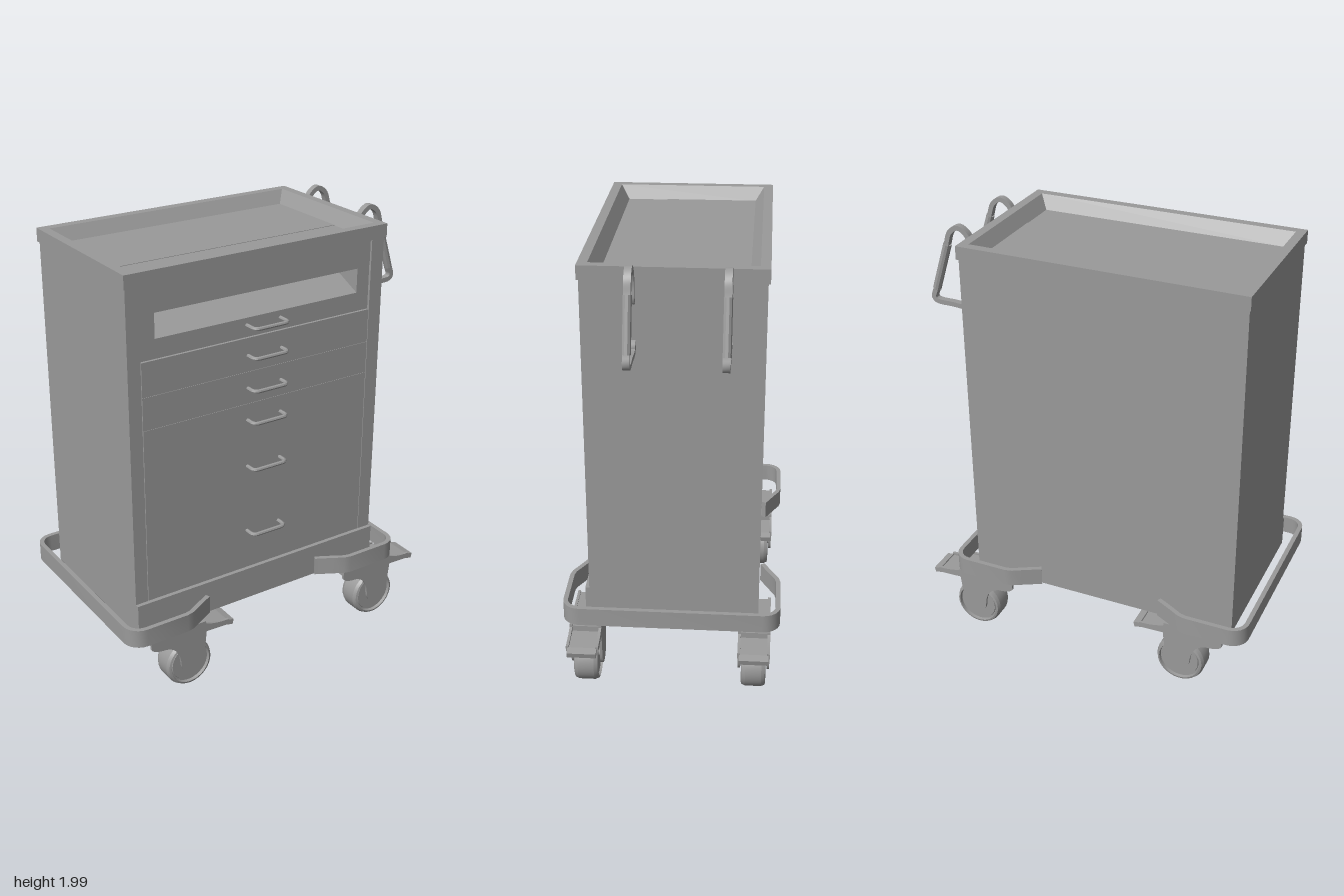
import * as THREE from 'three';
import { toCreasedNormals } from 'three/addons/utils/BufferGeometryUtils.js';

const mat = new THREE.MeshStandardMaterial({ color: 0x9a9a9a });
const MID = -0.077; // cabinet centre in x

function mesh(name, geometry, parent) {
  const m = new THREE.Mesh(geometry, mat);
  m.name = name;
  parent.add(m);
  return m;
}

// Box given by its limits on each axis
function box(name, parent, x0, x1, y0, y1, z0, z1) {
  const m = mesh(name, new THREE.BoxGeometry(x1 - x0, y1 - y0, z1 - z0), parent);
  m.position.set((x0 + x1) / 2, (y0 + y1) / 2, (z0 + z1) / 2);
  return m;
}

const vectors = list => list.map(p => new THREE.Vector2(...p));
const rect = (x0, x1, y0, y1, Type = THREE.Shape) => new Type(vectors([[x0, y0], [x1, y0], [x1, y1], [x0, y1]]));

function slab(shape, z0, z1) {
  return new THREE.ExtrudeGeometry(shape, { depth: z1 - z0, bevelEnabled: false, curveSegments: 10 }).translate(0, 0, z0);
}

function frame(outer, hole, z0, z1) {
  const s = rect(...outer);
  s.holes.push(rect(...hole, THREE.Path));
  return slab(s, z0, z1);
}

// Flat bar following a 2D path, with the given thickness and depth
function bar(path, thickness, z0, z1) {
  const side = d => path.map((q, i) => {
    const t = path[Math.min(i + 1, path.length - 1)].clone().sub(path[Math.max(i - 1, 0)]).normalize();
    return new THREE.Vector2(q.x - t.y * d, q.y + t.x * d);
  });
  const outline = new THREE.Shape([...side(thickness / 2), ...side(-thickness / 2).reverse()]);
  return toCreasedNormals(slab(outline, z0, z1), 0.5);
}

// U-shaped drawer pull with rounded corners
function handle(x0, x1, y, z0, z1) {
  const r = 0.025;
  const v = (x, z) => new THREE.Vector3(x, y, z);
  const path = new THREE.CurvePath();
  path.add(new THREE.LineCurve3(v(x0, z0), v(x0, z1 - r)));
  path.add(new THREE.QuadraticBezierCurve3(v(x0, z1 - r), v(x0, z1), v(x0 + r, z1)));
  path.add(new THREE.LineCurve3(v(x0 + r, z1), v(x1 - r, z1)));
  path.add(new THREE.QuadraticBezierCurve3(v(x1 - r, z1), v(x1, z1), v(x1, z1 - r)));
  path.add(new THREE.LineCurve3(v(x1, z1 - r), v(x1, z0)));
  return toCreasedNormals(new THREE.TubeGeometry(path, 50, 0.009, 8), 0.6);
}

function cabinet() {
  const g = new THREE.Group();
  g.name = 'cabinet';
  const L = -0.72, R = 0.565;
  box('carcass', g, L, R, 0.32, 1.912, -0.385, 0.11);
  // Front layer with the display window and its sloping floor
  mesh('windowFront', frame([L, R, 0.32, 1.91], [-0.585, 0.435, 1.675, 1.785], 0.11, 0.356), g);
  const wedge = new THREE.Shape(vectors([[0, 0], [0.246, 0], [0, 0.11]]));
  const slope = mesh('windowSlope', slab(wedge, 0, 1.02), g);
  slope.rotation.y = -Math.PI / 2;
  slope.position.set(0.435, 1.675, 0.11);
  mesh('frontFrame', frame([L, R, 0.32, 1.91], [-0.66, 0.5, 0.473, 1.905], 0.356, 0.368), g);
  box('topPanel', g, -0.66, 0.5, 1.793, 1.905, 0.35, 0.358);
  box('plinth', g, L, R, 0.32, 0.473, 0.36, 0.386);

  // Flush drawer fronts with hairline seams
  const edges = [0.473, 1.288, 1.436, 1.59];
  for (let i = 0; i < edges.length - 1; i++)
    box('drawerFront', g, -0.657, 0.497, edges[i] + 0.0006, edges[i + 1] - 0.0006, 0.34, 0.368);
  for (const y of [0.664, 0.988, 1.21, 1.36, 1.509, 1.642])
    mesh('drawerHandle', handle(-0.143, 0.028, y, 0.35, 0.421), g);

  // Tray rim: the lower edge of its opening is drawn inward to slope the walls
  const rim = frame([-0.65, 0.65, -0.385, 0.385], [-0.608, 0.608, -0.343, 0.343], 0, 0.06);
  const p = rim.attributes.position;
  for (let i = 0; i < p.count; i++)
    if (p.getZ(i) < 0.01 && Math.abs(p.getX(i)) < 0.63)
      p.setXY(i, p.getX(i) - 0.04 * Math.sign(p.getX(i)), p.getY(i) - 0.04 * Math.sign(p.getY(i)));
  rim.computeVertexNormals();
  rim.rotateX(-Math.PI / 2);
  mesh('trayRim', rim, g).position.set(MID, 1.91, -0.009);
  return g;
}

// Upright band wrapped around one end of the base
function bumper() {
  const half = [[0.297, 0.4], [0.37, 0.438], [0.42, 0.466], [0.45, 0.473], [0.652, 0.473]];
  for (let i = 1; i <= 6; i++) {
    const a = (i / 6) * Math.PI / 2;
    half.push([0.652 + 0.068 * Math.sin(a), 0.405 + 0.068 * Math.cos(a)]);
  }
  const path = vectors([...half, ...half.map(([x, y]) => [x, -y]).reverse()]);
  return bar(path, 0.021, 0, 0.085).rotateX(-Math.PI / 2);
}

// Caster with its wheel axle at x = 0, y = 0.12
function caster() {
  const g = new THREE.Group();
  g.name = 'caster';
  const half = [[0, 0.046], [0.088, 0.046], [0.09, 0.04], [0.097, 0.04], [0.099, 0.055], [0.108, 0.052], [0.115, 0.036]];
  const profile = vectors([...half.map(([r, y]) => [r, -y]), ...half.slice().reverse()]);
  const wheel = new THREE.LatheGeometry(profile, 32).rotateX(Math.PI / 2);
  mesh('wheel', toCreasedNormals(wheel, 0.4), g).position.y = 0.12;
  const axle = mesh('axle', new THREE.CylinderGeometry(0.018, 0.018, 0.138, 16).rotateX(Math.PI / 2), g);
  axle.position.y = 0.13;

  // Curved cheeks on both sides of the wheel
  const s = new THREE.Shape();
  s.moveTo(-0.205, 0.325);
  s.lineTo(-0.205, 0.275);
  s.quadraticCurveTo(-0.19, 0.252, -0.13, 0.25);
  s.quadraticCurveTo(-0.06, 0.235, -0.055, 0.14);
  s.quadraticCurveTo(-0.05, 0.09, 0.005, 0.09);
  s.quadraticCurveTo(0.06, 0.095, 0.065, 0.16);
  s.lineTo(0.078, 0.27);
  s.lineTo(0.075, 0.325);
  for (const z of [-0.071, 0.059]) mesh('forkCheek', toCreasedNormals(slab(s, z, z + 0.012), 0.5), g);
  box('forkTop', g, -0.2, 0.075, 0.285, 0.318, -0.06, 0.06);
  box('mountPlate', g, -0.14, 0, 0.315, 0.336, -0.055, 0.055);

  // Brake pedal: arched arm ending in a drooping foot plate
  const arm = new THREE.Shape();
  arm.moveTo(0.05, 0.325);
  arm.quadraticCurveTo(0.1, 0.292, 0.195, 0.292);
  arm.lineTo(0.195, 0.266);
  arm.quadraticCurveTo(0.1, 0.268, 0.05, 0.272);
  for (const z of [-0.071, 0.059]) mesh('pedalSide', toCreasedNormals(slab(arm, z, z + 0.012), 0.5), g);
  box('pedalPlate', g, 0.06, 0.2, 0.274, 0.286, -0.06, 0.06).rotation.z = -0.1;
  box('pedalTip', g, 0.188, 0.224, 0.256, 0.281, -0.064, 0.064).rotation.z = -0.25;
  return g;
}

// Side bracket: bent flat bar with a thicker grip
function hook() {
  const g = new THREE.Group();
  g.name = 'sideHook';
  const points = [[0.558, 1.828], [0.58, 1.828], [0.588, 1.84], [0.587, 1.9], [0.603, 1.957], [0.646, 1.986],
    [0.686, 1.962], [0.708, 1.9], [0.743, 1.79], [0.778, 1.68], [0.789, 1.644], [0.779, 1.628], [0.69, 1.622],
    [0.6, 1.617], [0.581, 1.622], [0.576, 1.641], [0.558, 1.65]];
  const curve = new THREE.CatmullRomCurve3(points.map(([x, y]) => new THREE.Vector3(x, y, 0)), false, 'centripetal');
  const path = curve.getSpacedPoints(90).map(v => new THREE.Vector2(v.x, v.y));
  mesh('hookBar', bar(path, 0.022, -0.015, 0.015), g);
  const a = new THREE.Vector3(0.708, 1.9, 0), b = new THREE.Vector3(0.778, 1.68, 0);
  const grip = mesh('hookGrip', toCreasedNormals(new THREE.CylinderGeometry(0.019, 0.019, a.distanceTo(b), 10), 0.5), g);
  grip.position.copy(a).add(b).multiplyScalar(0.5);
  grip.quaternion.setFromUnitVectors(new THREE.Vector3(0, 1, 0), a.clone().sub(b).normalize());
  return g;
}

export function createModel() {
  const model = new THREE.Group();
  model.name = 'drawerTrolley';
  model.add(cabinet());

  // Bumpers at both ends
  for (const turn of [0, Math.PI]) {
    const b = mesh('bumper', bumper(), model);
    b.position.set(MID, 0.332, 0.001);
    b.rotation.y = turn;
  }

  // Casters at the four corners, all trailing the same way
  for (const x of [-0.49, 0.565])
    for (const z of [-0.37, 0.38]) {
      const c = caster();
      c.position.set(x, 0, z);
      model.add(c);
    }

  for (const z of [-0.232, 0.157]) {
    const h = hook();
    h.position.z = z;
    model.add(h);
  }
  return model;
}
